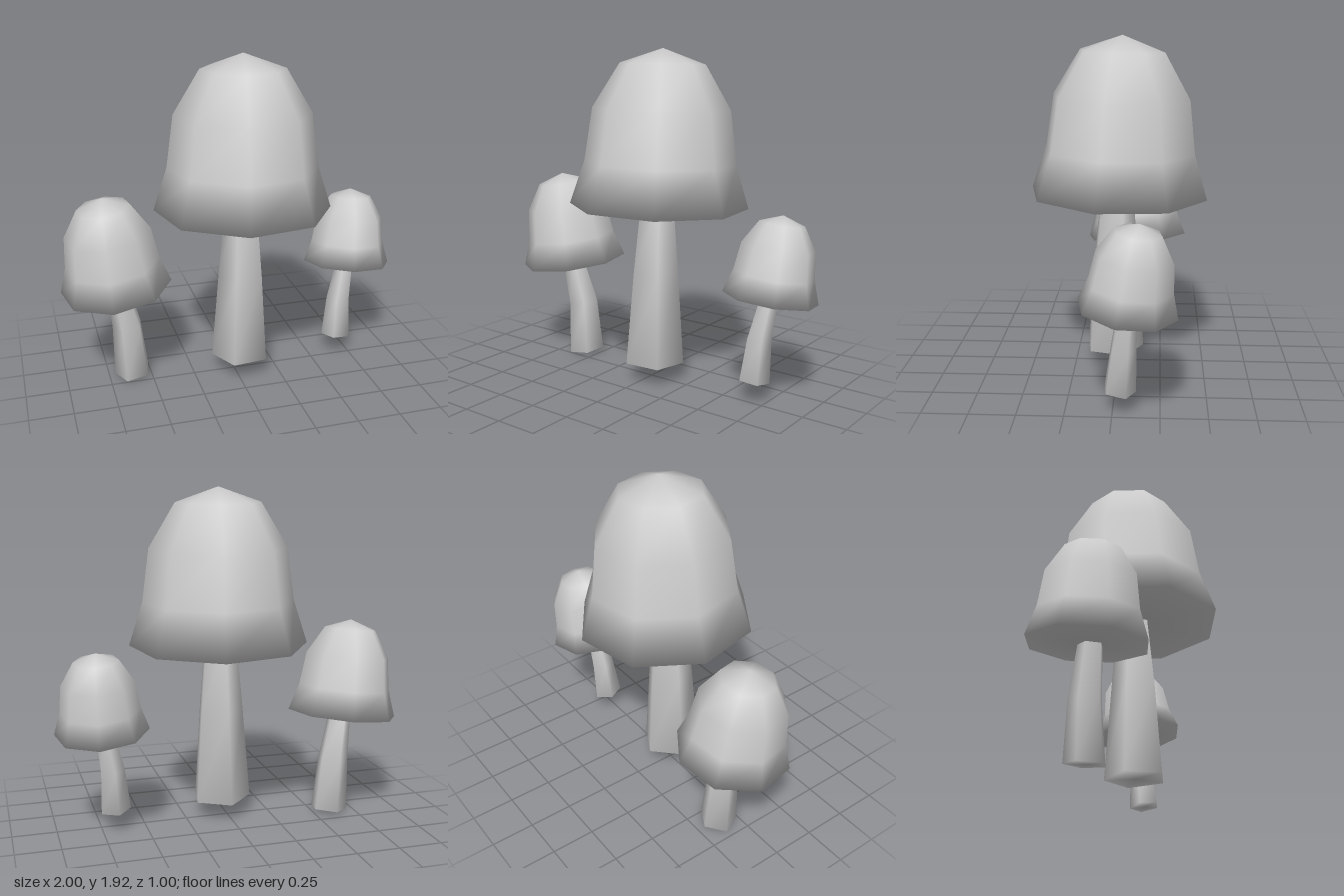
import * as THREE from 'three';

const UP = new THREE.Vector3(0, 1, 0);
const rad = THREE.MathUtils.degToRad;
const material = new THREE.MeshStandardMaterial({ color: 0xcccccc });

// Closed, smooth solid through rings [x, y, z, radius] listed from bottom to top,
// every ring tilted so that it faces along the lean direction.
function ringSolid(name, rings, sides, phase, lean) {
  const tilt = new THREE.Quaternion().setFromUnitVectors(UP, lean);
  const positions = [];
  const index = [];
  const last = rings.length - 1;
  rings.forEach(([x, y, z, r]) => {
    for (let j = 0; j < sides; j++) {
      const a = phase + (j / sides) * Math.PI * 2;
      const p = new THREE.Vector3(Math.sin(a) * r, 0, Math.cos(a) * r).applyQuaternion(tilt);
      positions.push(p.x + x, p.y + y, p.z + z);
    }
  });
  // end centres
  const bottom = positions.length / 3;
  const top = bottom + 1;
  positions.push(...rings[0].slice(0, 3), ...rings[last].slice(0, 3));
  for (let j = 0; j < sides; j++) {
    const k = (j + 1) % sides;
    index.push(bottom, k, j);
    for (let i = 0; i < last; i++) {
      const lo = i * sides, hi = lo + sides;
      index.push(lo + j, lo + k, hi + k, lo + j, hi + k, hi + j);
    }
    index.push(last * sides + j, last * sides + k, top);
  }
  const geometry = new THREE.BufferGeometry();
  geometry.setAttribute('position', new THREE.Float32BufferAttribute(positions, 3));
  geometry.setIndex(index);
  geometry.computeVertexNormals();
  const mesh = new THREE.Mesh(geometry, material);
  mesh.name = name;
  return mesh;
}

// Cap outline as [radius, height above rim], closed by a pointed crown
const CAP = [[0.51, 0], [0.43, 0.25], [0.39, 0.55], [0.24, 0.8]];
const CROWN = 0.885;

function cap(centre, scale, lean) {
  const along = (h) => new THREE.Vector3(...centre).addScaledVector(lean, h * scale).toArray();
  const rings = CAP.map(([r, h]) => [...along(h), r * scale]);
  const mesh = ringSolid('cap', rings, 8, rad(-11.4), lean);
  // lift the centre of the top ring to make the crown
  const pos = mesh.geometry.attributes.position;
  pos.setXYZ(pos.count - 1, ...along(CROWN));
  mesh.geometry.computeVertexNormals();
  return mesh;
}

function mushroom({ name, lean, centre, scale, stem }) {
  const group = new THREE.Group();
  group.name = name;
  const dir = new THREE.Vector3(...lean).normalize();
  group.add(cap(centre, scale, dir), ringSolid('stem', stem, 5, rad(43), dir));
  return group;
}

export function createModel() {
  const model = new THREE.Group();
  model.name = 'mushroomCluster';
  const specs = [
    {
      name: 'largeMushroom', lean: [0.01, 1, -0.03], centre: [0.05, 1.037, 0], scale: 1,
      stem: [[0.035, 0.115, 0.025, 0.175], [0.04, 0.65, 0.02, 0.135], [0.043, 1.08, 0.01, 0.096]],
    },
    {
      name: 'mediumMushroom', lean: [-0.11, 1, 0.063], centre: [-0.685, 0.598, -0.09], scale: 0.63,
      stem: [[-0.605, 0.017, -0.105, 0.11], [-0.627, 0.33, -0.105, 0.09], [-0.685, 0.63, -0.07, 0.064]],
    },
    {
      name: 'smallMushroom', lean: [0.077, 1, -0.13], centre: [0.742, 0.595, -0.08], scale: 0.515,
      stem: [[0.675, 0.122, -0.035, 0.09], [0.69, 0.36, -0.055, 0.072], [0.737, 0.62, -0.08, 0.05]],
    },
  ];
  specs.forEach((s) => model.add(mushroom(s)));
  return model;
}
